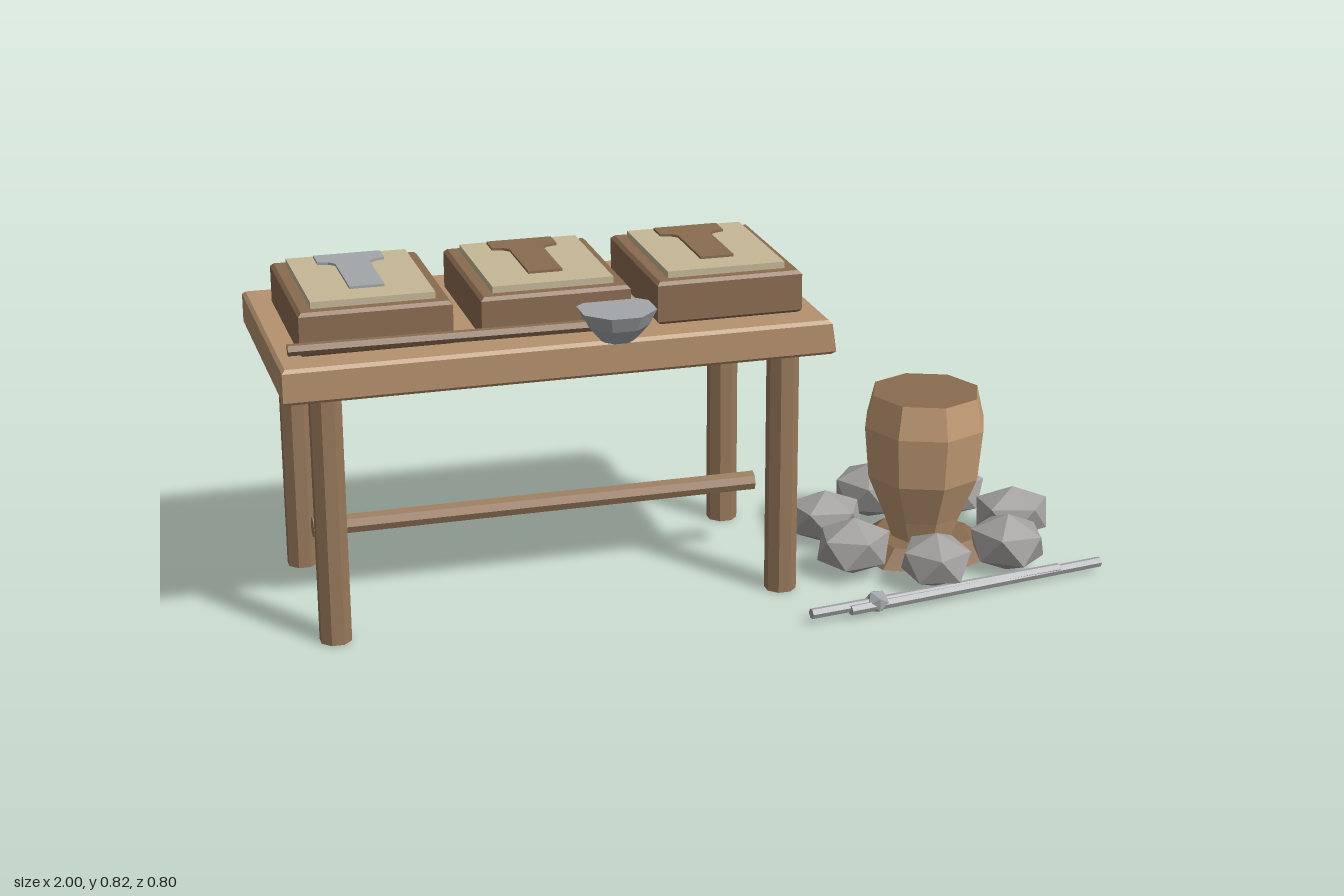
import * as THREE from 'three';

const mat = (name, color, extra = {}) => {
  const m = new THREE.MeshStandardMaterial({ color, flatShading: true, ...extra });
  m.name = name;
  return m;
};

export function createModel() {
  const wood = mat('light wood', 0xb5926e);
  const darkWood = mat('dark wood', 0x8a6c50);
  const legWood = mat('leg wood', 0x97785a);
  const sand = mat('sand', 0xc4b896);
  const metal = mat('metal', 0xa3a6a8);
  const stone = mat('stone', 0xa3a19f);
  const clay = mat('clay', 0xbf9973);

  const model = new THREE.Group();
  model.name = 'castingWorkshop';

  const add = (name, geometry, material, x = 0, y = 0, z = 0, parent = model) => {
    const mesh = new THREE.Mesh(geometry, material);
    mesh.name = name;
    mesh.position.set(x, y, z);
    parent.add(mesh);
    return mesh;
  };

  // Flat shape in x/z pushed upwards from y = 0, with chamfered rims
  const slab = (points, height, bevel) => {
    const shape = new THREE.Shape(points.map(([x, z]) => new THREE.Vector2(x, -z)));
    const g = new THREE.ExtrudeGeometry(shape, {
      depth: height - 2 * bevel, bevelEnabled: bevel > 0, bevelSegments: 1,
      bevelSize: bevel, bevelOffset: -bevel, bevelThickness: bevel,
    });
    return g.translate(0, 0, bevel).rotateX(-Math.PI / 2);
  };
  const rect = (w, d) => [[-w / 2, d / 2], [w / 2, d / 2], [w / 2, -d / 2], [-w / 2, -d / 2]];

  // Straight rod between two points
  const rod = (name, a, b, radius, sides, material) => {
    const from = new THREE.Vector3(...a), to = new THREE.Vector3(...b);
    const dir = to.clone().sub(from);
    const mesh = add(name, new THREE.CylinderGeometry(radius, radius, dir.length(), sides), material);
    mesh.position.copy(from).add(to).multiplyScalar(0.5);
    mesh.quaternion.setFromUnitVectors(new THREE.Vector3(0, 1, 0), dir.normalize());
    return mesh;
  };

  // Table: slightly uneven top, octagonal legs, one stretcher
  const topGeometry = slab(rect(1.31, 0.63), 0.085, 0.008);
  const p = topGeometry.attributes.position;
  for (let i = 0; i < p.count; i++) {
    if (p.getX(i) > 0 && p.getY(i) > 0.04) p.setX(i, p.getX(i) - 0.01);
  }
  topGeometry.computeVertexNormals();
  add('tableTop', topGeometry, wood, -0.343, 0.614, -0.086);
  for (const x of [-0.893, 0.204]) {
    for (const z of [0.155, -0.329]) {
      const leg = new THREE.CylinderGeometry(0.039, 0.039, 0.62, 8).rotateY(Math.PI / 8);
      add('tableLeg', leg, legWood, x, 0.31, z);
    }
  }
  rod('stretcher', [-0.9, 0.19, -0.087], [0.21, 0.19, -0.087], 0.025, 8, legWood);

  // Three casting moulds, the first already filled with metal
  const cavity = [
    [-0.08, -0.23], [-0.08, -0.172], [-0.055, -0.165], [-0.041, -0.15], [-0.041, 0.04],
    [0.041, 0.04], [0.041, -0.15], [0.055, -0.165], [0.08, -0.172], [0.08, -0.23],
  ];
  [-0.766, -0.345, 0.075].forEach((x, i) => {
    const mould = new THREE.Group();
    mould.name = 'mould';
    mould.position.x = x;
    model.add(mould);
    add('mouldBox', slab(rect(0.355, 0.422), 0.104, 0.008), darkWood, 0, 0.698, -0.064, mould);
    add('mouldSand', slab(rect(0.288, 0.358), 0.018, 0), sand, 0, 0.8, -0.064, mould);
    add('mouldFill', slab(cavity, 0.007, 0), i === 0 ? metal : darkWood, 0, 0.817, 0, mould);
  });

  // Ladle resting on the table edge
  rod('ladleHandle', [-0.975, 0.729, 0.174], [-0.27, 0.733, 0.204], 0.014, 6, darkWood);
  const bowl = [[0, 0.695], [0.042, 0.695], [0.076, 0.733], [0.094, 0.77], [0, 0.77]];
  add('ladleBowl', new THREE.LatheGeometry(bowl.map(([r, y]) => new THREE.Vector2(r, y)), 8), metal,
    -0.217, 0, 0.204).rotation.y = Math.PI / 8;

  // Crucible on an ash bed
  const pot = [[0, 0.03], [0.075, 0.03], [0.1, 0.1], [0.146, 0.21], [0.158, 0.34], [0.138, 0.422]];
  add('crucible', new THREE.LatheGeometry(pot.map(([r, y]) => new THREE.Vector2(r, y)), 8), clay,
    0.625, 0, 0.02);
  add('crucibleContents', new THREE.CylinderGeometry(0.138, 0.138, 0.006, 8), darkWood, 0.625, 0.419, 0.02);
  add('ashBed', new THREE.CylinderGeometry(0.13, 0.185, 0.04, 7), darkWood, 0.625, 0.022, 0.02);

  // Ring of seven faceted stones
  for (let i = 0; i < 7; i++) {
    const a = (i * Math.PI * 2) / 7;
    const h = 0.07 + 0.004 * ((i * 3) % 3 + (i % 2));
    const g = new THREE.IcosahedronGeometry(1, 0).rotateZ(Math.atan(2 / (1 + Math.sqrt(5))));
    g.rotateY(Math.PI).scale(0.105, h, 0.095);
    add('hearthStone', g, stone, 0.625 + 0.245 * Math.cos(a), h, 0.02 + 0.245 * Math.sin(a)).rotation.y = -a;
  }

  // Tongs on the ground: two crossing arms and a pivot
  rod('tongArm', [0.205, 0.026, 0.388], [0.88, 0.026, 0.298], 0.013, 6, metal);
  rod('tongArm', [0.305, 0.022, 0.386], [0.998, 0.022, 0.28], 0.013, 6, metal);
  add('tongPivot', new THREE.IcosahedronGeometry(0.03, 0), metal, 0.378, 0.028, 0.366);

  return model;
}
